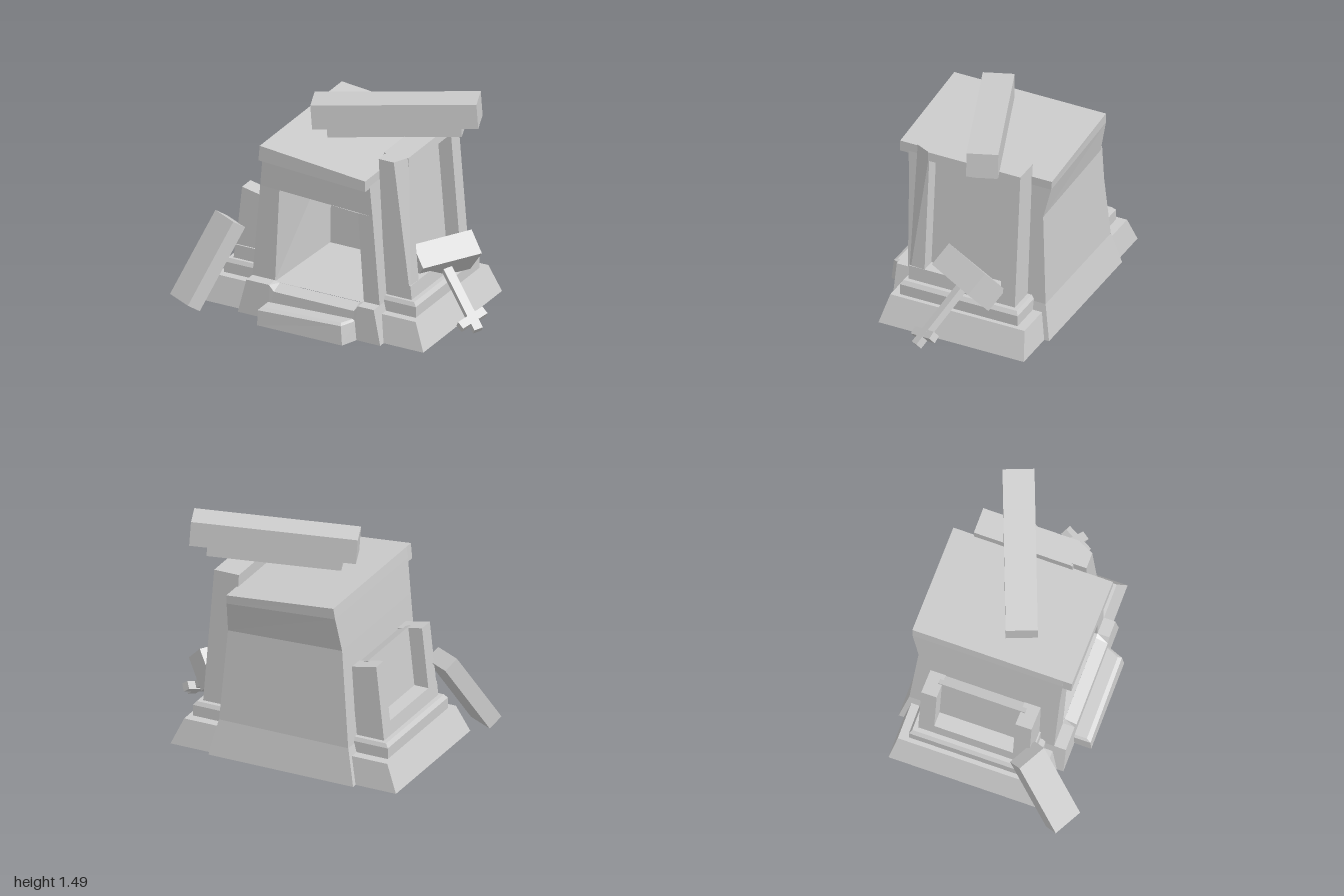
import * as THREE from 'three';

const V = (a) => new THREE.Vector3(...a);
const material = (side = THREE.FrontSide) => new THREE.MeshStandardMaterial({ color: 0xcccccc, flatShading: true, side });

// Rectangular cross-section; yR lets the +x side sit at another height
const ring = (x0, x1, z0, z1, y, yR = y) => [[x0, y, z1], [x1, yR, z1], [x1, yR, z0], [x0, y, z0]];

// Skin a stack of cross-sections, ordered upwards, with optional end caps
function loft(name, rings, bottom = true, top = true) {
  const pos = [];
  const tri = (...p) => p.forEach((q) => pos.push(...q));
  for (let k = 0; k + 1 < rings.length; k++) {
    const a = rings[k], b = rings[k + 1], n = a.length;
    for (let i = 0; i < n; i++) {
      const j = (i + 1) % n;
      tri(a[i], a[j], b[j]);
      tri(a[i], b[j], b[i]);
    }
  }
  const first = rings[0], last = rings[rings.length - 1];
  for (let i = 1; i + 1 < first.length; i++) {
    if (bottom) tri(first[0], first[i + 1], first[i]);
    if (top) tri(last[0], last[i], last[i + 1]);
  }
  const g = new THREE.BufferGeometry();
  g.setAttribute('position', new THREE.Float32BufferAttribute(pos, 3));
  g.computeVertexNormals();
  const open = !bottom || !top;
  const m = new THREE.Mesh(g, material(open ? THREE.DoubleSide : THREE.FrontSide));
  m.name = name;
  return m;
}

// Box turned so its x axis follows dirX and its y axis leans towards dirY
function bar(name, size, center, dirX, dirY) {
  const x = V(dirX).normalize();
  const z = x.clone().cross(V(dirY)).normalize();
  const y = z.clone().cross(x);
  const g = new THREE.BoxGeometry(...size);
  g.applyMatrix4(new THREE.Matrix4().makeBasis(x, y, z).setPosition(V(center)));
  const m = new THREE.Mesh(g, material());
  m.name = name;
  return m;
}

// Wall cross-section notched by the doorway: d0..d1 at the front, b0..b1 at its back
const notched = (x0, x1, z0, z1, [d0, d1], [b0, b1], y, yR = y) => [
  [x0, y, z1], [d0, y, z1], [b0, y, -0.3], [b1, yR, -0.3],
  [d1, yR, z1], [x1, yR, z1], [x1, yR, z0], [x0, y, z0],
];

// Base cross-section whose front edge dips to height sill across the doorway
const dipped = (x0, x1, z0, z1, y, sill) => [
  [x0, y, z1], [-0.335, y, z1], [-0.3, sill, z1], [0.285, sill, z1],
  [0.315, y, z1], [x1, y, z1], [x1, y, z0], [x0, y, z0],
];

function createBody() {
  const body = new THREE.Group();
  body.name = 'body';
  body.add(
    loft('base', [
      dipped(-0.56, 0.48, -0.66, 0.46, 0, 0),
      dipped(-0.5, 0.43, -0.61, 0.455, 0.24, 0.2),
      dipped(-0.5, 0.43, -0.61, 0.375, 0.24, 0.23),
    ], false, false),
    loft('doorwayFloor', [ring(-0.335, 0.315, -0.3, 0.375, 0.232)], false, true),
    loft('doorwayCeiling', [ring(-0.297, 0.282, -0.3, 0.39, 0.9, 0.865)], true, false),
    loft('walls', [
      notched(-0.5, 0.43, -0.61, 0.375, [-0.335, 0.315], [-0.305, 0.255], 0.23),
      notched(-0.435, 0.385, -0.57, 0.39, [-0.295, 0.28], [-0.295, 0.28], 0.9, 0.865),
    ], false, false),
    loft('lintelAndRoof', [
      ring(-0.435, 0.385, -0.57, 0.39, 0.9, 0.865),
      ring(-0.41, 0.37, -0.62, 0.4, 1.14, 1.08),
      ring(-0.4, 0.37, -0.625, 0.4, 1.215, 1.14),
    ], false),
    loft('cornice', [ring(-0.41, 0.37, 0.38, 0.46, 1.11, 1.065), ring(-0.4, 0.37, 0.38, 0.46, 1.215, 1.14)]),
    loft('frontStep', [
      [[-0.355, 0, 0.575], [0.265, 0, 0.575], [0.31, 0, 0.45], [-0.355, 0, 0.45]],
      [[-0.355, 0.105, 0.57], [0.25, 0.13, 0.565], [0.295, 0.13, 0.45], [-0.355, 0.105, 0.45]],
      [[-0.34, 0.12, 0.54], [0.24, 0.143, 0.54], [0.28, 0.143, 0.45], [-0.34, 0.12, 0.45]],
    ], false),
  );
  return body;
}

// Stepped plinth and recessed panel frame; the left one is mirrored about x = -0.04
function createSide(left) {
  const side = new THREE.Group();
  side.name = left ? 'leftSide' : 'rightSide';
  const r = (x0, x1, z0, z1, y, yIn = y) =>
    (left ? ring(-x1 - 0.08, -x0 - 0.08, z0, z1, y, yIn) : ring(x0, x1, z0, z1, yIn, y));
  const outer = (y) => 0.61 - (y - 0.28) * (left ? 0.11 : 0.084);
  const inner = (y) => 0.41 - (y - 0.28) * 0.06;
  const height = left ? 0.79 : 1.225;
  const drop = left ? 0.035 : 0;
  const slab = (name, z0, z1, y0, y1, depth = 0, fall = 0) => loft(name, [
    r(inner(y0), outer(y0) - depth, z0, z1, y0),
    r(inner(y1), outer(y1) - depth, z0, z1, y1, y1 - fall),
  ]);
  side.add(
    loft('lowerPlinth', [r(0.3, 0.77, -0.625, 0.415, 0), r(0.3, 0.69, -0.59, 0.37, 0.18)], false),
    loft('upperPlinth', [
      r(0.3, 0.66, -0.525, 0.315, 0.16),
      r(0.3, 0.66, -0.525, 0.315, 0.255),
      r(0.3, 0.64, -0.51, 0.3, 0.28),
    ], false),
    slab('sill', -0.48, 0.28, 0.27, 0.375),
    slab('rearPost', -0.48, -0.375, 0.27, height, 0, drop),
    slab('panel', -0.4, 0.19, 0.3, height - 0.01, 0.1, drop),
  );
  if (left) {
    side.add(slab('frontPost', 0.16, 0.27, 0.27, height, 0, drop));
  } else {
    // The whole front post has its outer corner worn back towards the top
    side.add(
      slab('topRail', -0.48, 0.18, 1.165, height),
      loft('frontPost', [
        [[0.42, 0.27, 0.28], [0.605, 0.27, 0.28], [0.61, 0.27, 0.17], [0.42, 0.27, 0.17]],
        [[0.37, 1.225, 0.28], [0.48, 1.225, 0.28], [0.53, 1.225, 0.17], [0.37, 1.225, 0.17]],
      ]),
    );
  }
  return side;
}

// Fallen pieces: roof beam, leaning slab and broken cross finial
function createRubble() {
  const rubble = new THREE.Group();
  rubble.name = 'fallenPieces';
  const along = [1, 0.075, -0.385], up = [0, 1, 0];
  const shaft = [0.305, -0.285, 0.155], arm = [0.08, 0.055, -0.17];
  rubble.add(
    bar('roofBeam', [1.075, 0.17, 0.205], [0.27, 1.372, -0.135], along, up),
    bar('roofBeamMoulding', [0.87, 0.08, 0.16], [0.265, 1.258, -0.137], along, up),
    bar('leaningSlab', [0.21, 0.612, 0.11], [-0.801, 0.291, 0.423], [0.88, 0, 0.47], [0.175, 0.5, -0.295]),
    bar('finialBlock', [0.433, 0.174, 0.233], [0.595, 0.405, -0.143], [-0.225, -0.005, 0.37], [-0.11, 0.115, -0.07]),
    bar('finialShaft', [0.46, 0.06, 0.05], [0.808, 0.195, -0.035], shaft, arm),
    bar('finialArms', [0.2, 0.055, 0.055], [0.905, 0.1, 0.015], arm, shaft),
  );
  return rubble;
}

export function createModel() {
  const model = new THREE.Group();
  model.name = 'ruinedTomb';
  model.add(createBody(), createSide(false), createSide(true), createRubble());
  return model;
}
